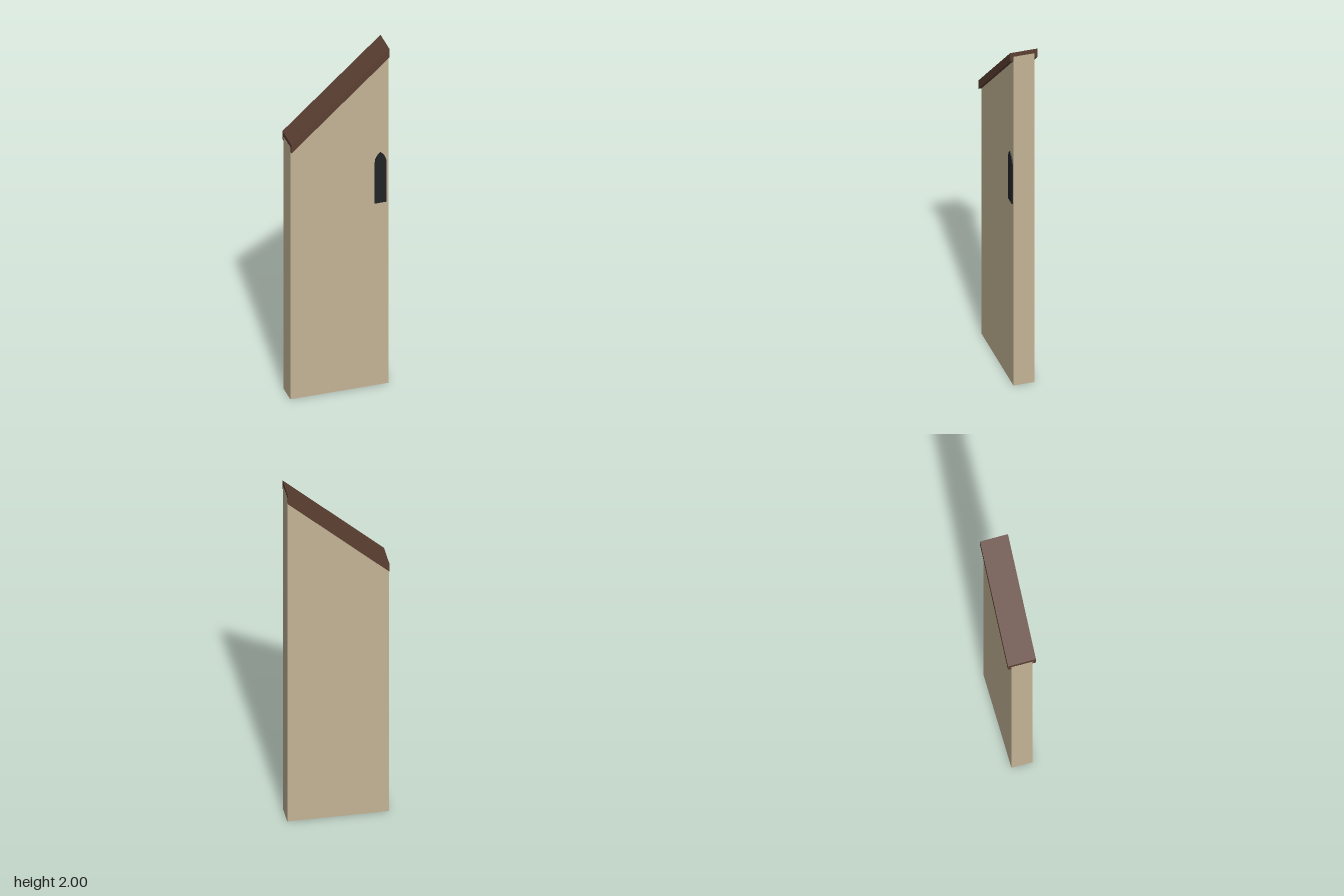
import * as THREE from 'three';

const material = (name, color) => {
  const m = new THREE.MeshStandardMaterial({ color });
  m.name = name;
  return m;
};

// Extrudes an outline of [x, y] points from z0 to z1
function slab(name, points, z0, z1, mat) {
  const shape = new THREE.Shape(points.map(([x, y]) => new THREE.Vector2(x, y)));
  const geometry = new THREE.ExtrudeGeometry(shape, { depth: z1 - z0, bevelEnabled: false });
  geometry.translate(0, 0, z0);
  const mesh = new THREE.Mesh(geometry, mat);
  mesh.name = name;
  return mesh;
}

export function createModel() {
  const stone = material('sandstone', 0xc4b496);
  const brown = material('brown coping', 0x5c4033);
  const dark = material('dark opening', 0x222326);

  const group = new THREE.Group();
  group.name = 'gableWall';
  const w = 0.263, low = 1.5, high = 1.975, t = 0.025;

  // Wall with a sloping top; its ends sit a hair proud of the coping
  const e = w + 0.0006;
  group.add(slab('wall', [[-e, 0], [e, 0], [e, high], [-e, low]], -0.056, 0.056, stone));

  // Sloping coping, wider than the wall
  group.add(slab('coping',
    [[-w, low - t], [w, high - t], [w, high + t], [-w, low + t]], -0.074, 0.074, brown));

  // Pointed window plate on the front
  const half = [[0.032, 1.085], [0.032, 1.32], [0.028, 1.345], [0.018, 1.366]];
  const cx = 0.22;
  group.add(slab('window', [
    ...half.map(([x, y]) => [cx + x, y]),
    [cx, 1.385],
    ...half.map(([x, y]) => [cx - x, y]).reverse(),
  ], 0.055, 0.062, dark));

  return group;
}
